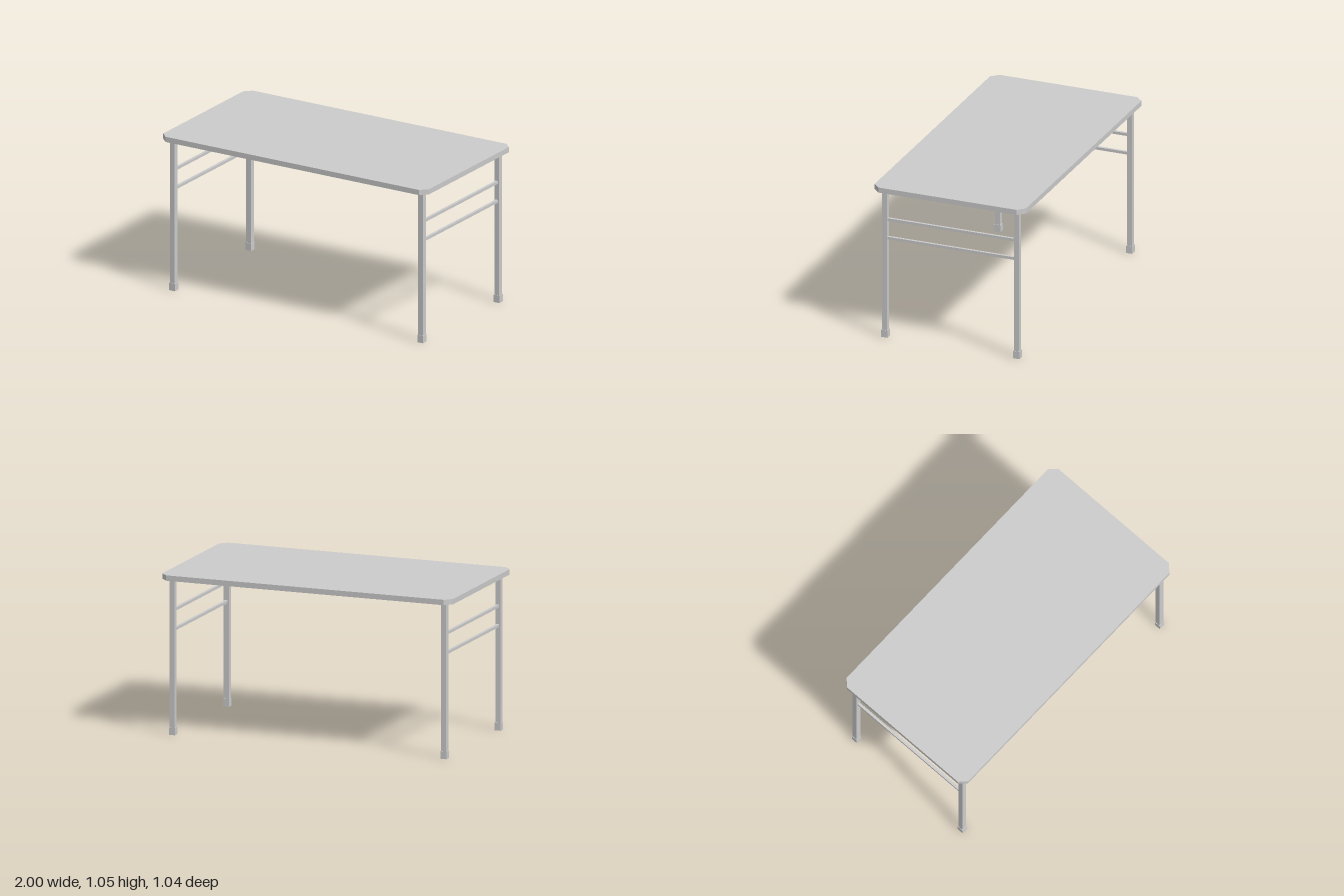
import * as THREE from 'three';

export function createModel() {
  const table = new THREE.Group();
  table.name = 'table';
  const material = new THREE.MeshStandardMaterial({ color: 0xcccccc, flatShading: true });

  const add = (name, geometry, x, y, z) => {
    const mesh = new THREE.Mesh(geometry, material);
    mesh.name = name;
    mesh.position.set(x, y, z);
    table.add(mesh);
  };

  const halfX = 1, halfZ = 0.522, chamfer = 0.046;
  const topY = 1.049, underY = 1.014;
  const legX = 0.934, legZ = 0.455, legSize = 0.035;
  const footSize = 0.042, footHeight = 0.05, railSize = 0.018;

  // Tabletop: a slab with cut corners
  const outline = new THREE.Shape([
    [halfX - chamfer, -halfZ], [halfX, -halfZ + chamfer],
    [halfX, halfZ - chamfer], [halfX - chamfer, halfZ],
    [-halfX + chamfer, halfZ], [-halfX, halfZ - chamfer],
    [-halfX, -halfZ + chamfer], [-halfX + chamfer, -halfZ],
  ].map(([x, z]) => new THREE.Vector2(x, z)));
  const slab = new THREE.ExtrudeGeometry(outline, { depth: topY - underY, bevelEnabled: false });
  slab.rotateX(-Math.PI / 2);
  add('tabletop', slab, 0, underY, 0);

  const legHeight = underY - footHeight;
  const leg = new THREE.BoxGeometry(legSize, legHeight, legSize);
  const foot = new THREE.BoxGeometry(footSize, footHeight, footSize);
  const rail = new THREE.BoxGeometry(railSize, railSize, 2 * legZ - legSize);

  for (const [side, sx] of [['left', 1], ['right', -1]]) {
    // Legs with foot caps
    for (const [end, sz] of [['Front', 1], ['Back', -1]]) {
      add(`${side}${end}Leg`, leg, sx * legX, footHeight + legHeight / 2, sz * legZ);
      add(`${side}${end}Foot`, foot, sx * legX, footHeight / 2, sz * legZ);
    }
    // Pair of rails joining the front and back legs
    add(`${side}UpperRail`, rail, sx * legX, 0.812, 0);
    add(`${side}LowerRail`, rail, sx * legX, 0.684, 0);
  }

  return table;
}
